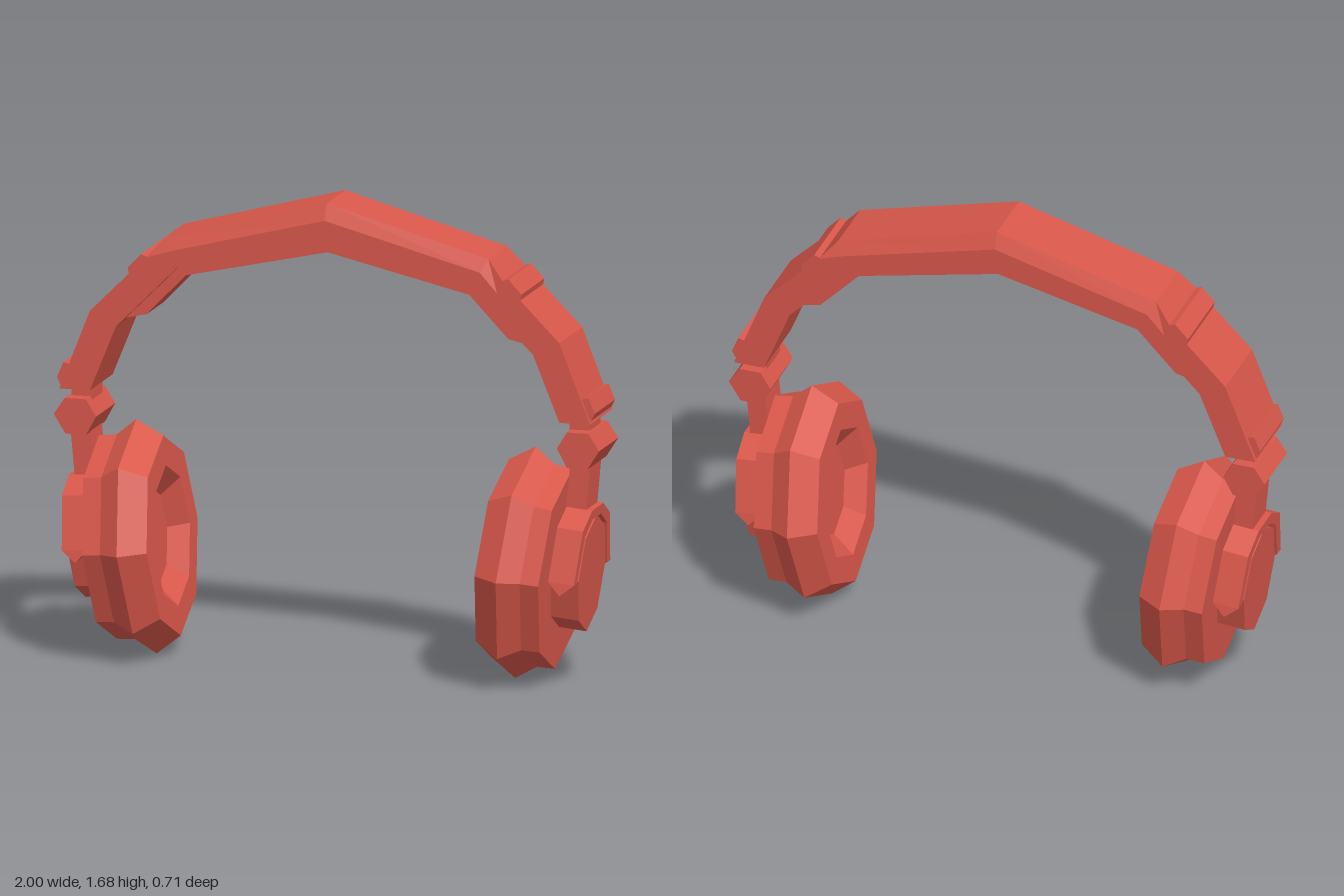
import * as THREE from 'three';

const red = new THREE.MeshStandardMaterial({ color: 0xd8574a });
red.name = 'coral red';

// Flat-faced mesh from any geometry
function part(name, geometry) {
  const g = geometry.index ? geometry.toNonIndexed() : geometry;
  g.computeVertexNormals();
  const mesh = new THREE.Mesh(g, red);
  mesh.name = name;
  return mesh;
}

// Skin over equal-sized convex rings of [x, y, z], capped at both ends
function loft(rings) {
  const n = rings[0].length, last = (rings.length - 1) * n, index = [];
  for (let i = 0; i < rings.length - 1; i++) {
    for (let j = 0; j < n; j++) {
      const k = (j + 1) % n;
      const a = i * n + j, b = i * n + k, c = b + n, d = a + n;
      index.push(a, b, c, a, c, d);
    }
  }
  for (let j = 1; j < n - 1; j++) {
    index.push(0, j + 1, j, last, last + j, last + j + 1);
  }
  const g = new THREE.BufferGeometry();
  g.setAttribute('position', new THREE.Float32BufferAttribute(rings.flat(2), 3));
  g.setIndex(index);
  return g;
}

// Outline in x-y, extruded evenly to both sides of z = 0
function prism(points, halfDepth) {
  const shape = new THREE.Shape(points.map(([x, y]) => new THREE.Vector2(x, y)));
  const g = new THREE.ExtrudeGeometry(shape, { depth: halfDepth * 2, bevelEnabled: false });
  return g.translate(0, 0, -halfDepth);
}

// Eight-sided turned form along x; profile is [radius, x]
function octagon(profile, ry, rz) {
  const g = new THREE.LatheGeometry(profile.map(([r, u]) => new THREE.Vector2(r, u)), 8);
  return g.rotateZ(-Math.PI / 2).scale(1, ry, rz);
}

// Arched strip: rows of [outerX, outerY, innerX, innerY, outerHalfWidth], mirrored across x
function arch(rows, w) {
  const mirrored = rows.slice(1).reverse().map(([ox, oy, ix, iy, t]) => [-ox, oy, -ix, iy, t]);
  return loft([...mirrored, ...rows].map(([ox, oy, ix, iy, t]) => {
    const mx = ox + (ix - ox) * 0.45, my = oy + (iy - oy) * 0.45;
    return [[ox, oy, -t], [ox, oy, t], [mx, my, w], [ix, iy, w], [ix, iy, -w], [mx, my, -w]];
  }));
}

// Fork straddling the cap; rows are [outerY, outerZ, innerY, innerZ, x0, x1]
function fork() {
  const half = [
    [-0.042, 0.222, -0.042, 0.183, 0.195, 0.2],
    [0.0, 0.215, 0.0, 0.178, 0.15, 0.245],
    [0.185, 0.16, 0.155, 0.13, 0.15, 0.245],
    [0.24, 0.065, 0.205, 0.05, 0.15, 0.245],
  ];
  const other = half.slice().reverse().map(([oy, oz, iy, iz, a, b]) => [oy, -oz, iy, -iz, a, b]);
  return loft([...half, ...other].map(([oy, oz, iy, iz, a, b]) =>
    [[a, oy, oz], [b, oy, oz], [b, iy, iz], [a, iy, iz]]));
}

// Everything on one side of the headband
function side(name) {
  const group = new THREE.Group();
  group.name = name;

  group.add(part('bandRidge', prism(
    [[0.645, 1.455], [0.66, 1.39], [0.717, 1.39], [0.722, 1.414], [0.674, 1.465]], 0.135)));
  group.add(part('bandTab', prism(
    [[0.92, 1.04], [0.94, 0.975], [0.974, 0.975], [0.986, 1.0], [0.963, 1.055], [0.943, 1.05]], 0.12)));
  group.add(part('neck', prism([[0.875, 0.91], [0.95, 0.91], [0.95, 0.98], [0.875, 0.98]], 0.062)));
  group.add(part('hinge', prism(
    [[0.845, 0.865], [0.882, 0.797], [0.957, 0.797], [1.0, 0.865], [0.96, 0.925], [0.882, 0.925]], 0.113)));

  // Ear cup assembly leans slightly inward at the bottom
  const cup = new THREE.Group();
  cup.name = 'earCup';
  cup.position.set(0.695, 0.422, 0);
  cup.rotation.z = -0.09;
  cup.add(part('cushion', octagon([
    [0, -0.03], [0.42, -0.03], [0.6, -0.094], [0.853, -0.094],
    [1, 0], [0.875, 0.075], [0.868, 0.142], [0, 0.142]], 0.42, 0.353)));
  cup.add(part('outerCap', octagon([[0, 0.1], [1, 0.1], [1, 0.244], [0, 0.244]], 0.212, 0.155)));
  cup.add(part('arm', new THREE.BoxGeometry(0.073, 0.2, 0.132).translate(0.186, 0.3, 0)));
  cup.add(part('fork', fork()));
  group.add(cup);
  return group;
}

export function createModel() {
  const model = new THREE.Group();
  model.name = 'headphones';

  model.add(part('headband', arch([
    [0, 1.688, 0, 1.56, 0.11],
    [0.593, 1.527, 0.54, 1.427, 0.11],
    [0.655, 1.455, 0.605, 1.36, 0.135],
    [0.861, 1.249, 0.765, 1.2, 0.135],
    [0.973, 0.963, 0.861, 0.963, 0.135],
  ], 0.135)));

  model.add(part('headPad', arch([
    [0, 1.6, 0, 1.51, 0.1],
    [0.56, 1.46, 0.52, 1.392, 0.1],
    [0.72, 1.3, 0.663, 1.243, 0.1],
    [0.79, 1.23, 0.755, 1.222, 0.1],
  ], 0.1)));

  // The model is symmetric front to back, so a half turn gives the other side
  const left = side('leftSide');
  const right = side('rightSide');
  right.rotation.y = Math.PI;
  model.add(left, right);
  return model;
}
